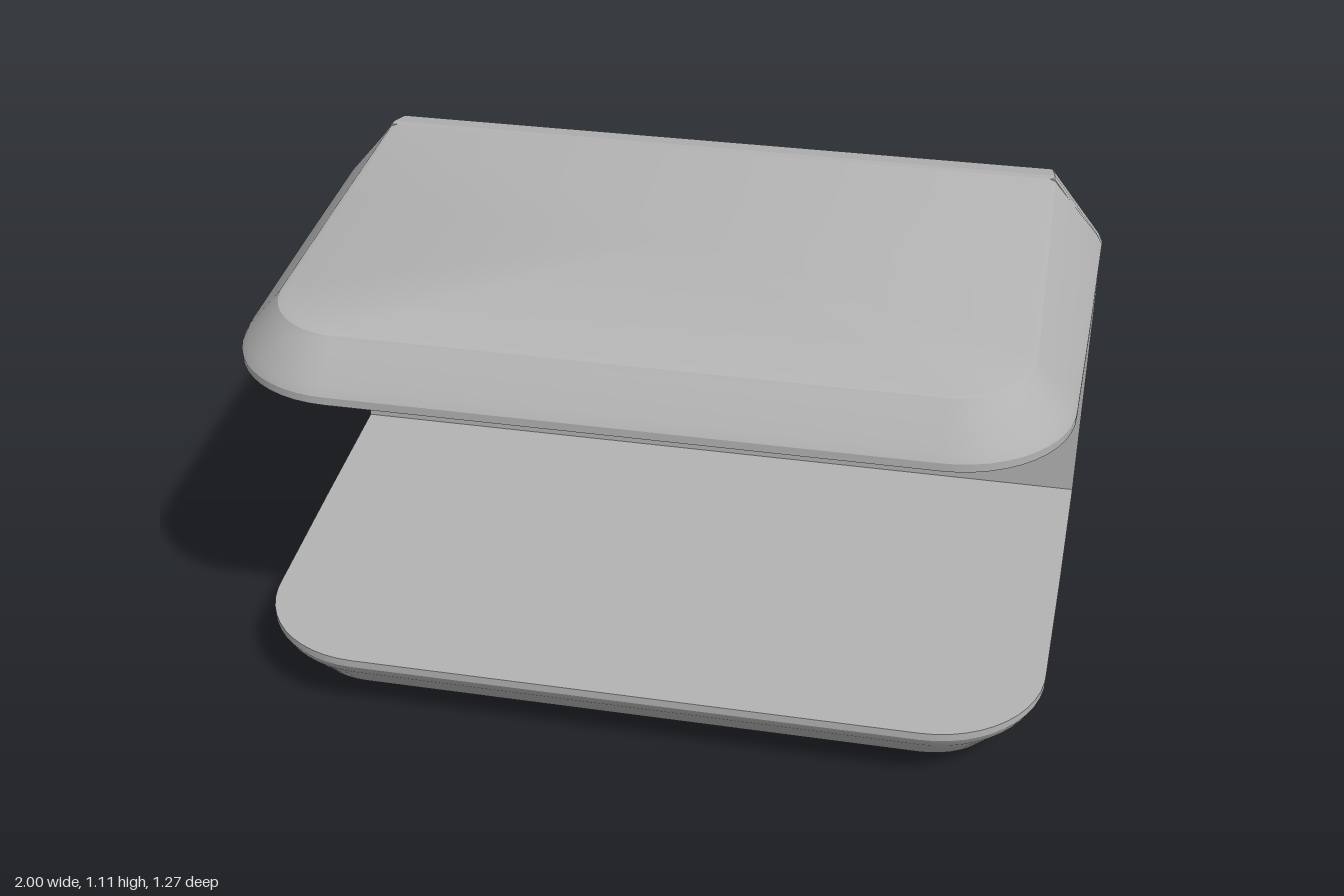
import * as THREE from 'three';
import { toCreasedNormals } from 'three/addons/utils/BufferGeometryUtils.js';

const MID = 0.555; // height of the horizontal mirror plane

export function createModel() {
  const group = new THREE.Group();
  const grey = new THREE.MeshStandardMaterial({ color: 0xb3b3b3 });
  grey.name = 'matte grey';

  const add = (name, geo, x = 0, y = 0, z = 0) => {
    const mesh = new THREE.Mesh(geo, grey);
    mesh.name = name;
    mesh.position.set(x, y, z);
    group.add(mesh);
    return mesh;
  };
  const box = (name, x0, x1, y0, y1, z0, z1) =>
    add(name, new THREE.BoxGeometry(x1 - x0, y1 - y0, z1 - z0), (x0 + x1) / 2, (y0 + y1) / 2, (z0 + z1) / 2);

  // Rectangle with its own corner radius on the -x and the +x side
  const roundRect = (path, x0, x1, y0, y1, rl, rr) => {
    path.moveTo(x0 + rl, y0);
    path.lineTo(x1 - rr, y0);
    if (rr) path.absarc(x1 - rr, y0 + rr, rr, -Math.PI / 2, 0);
    path.lineTo(x1, y1 - rr);
    if (rr) path.absarc(x1 - rr, y1 - rr, rr, 0, Math.PI / 2);
    path.lineTo(x0 + rl, y1);
    if (rl) path.absarc(x0 + rl, y1 - rl, rl, Math.PI / 2, Math.PI);
    path.lineTo(x0, y0 + rl);
    if (rl) path.absarc(x0 + rl, y0 + rl, rl, Math.PI, Math.PI * 1.5);
    return path;
  };
  const slot = (cx, cy, w, h) => {
    const r = Math.min(w, h) / 2 * 0.98;
    return roundRect(new THREE.Path(), cx - w / 2, cx + w / 2, cy - h / 2, cy + h / 2, r, r);
  };
  const octagon = () => new THREE.Shape(
    [[1, -0.385], [1, 0.385], [0.866, 0.555], [-0.866, 0.555], [-1, 0.385], [-1, -0.385], [-0.866, -0.555], [0.866, -0.555]]
      .map(([x, y]) => new THREE.Vector2(x, y + MID)));
  const extrude = (shape, z0, z1, steps = 1) => {
    const geo = new THREE.ExtrudeGeometry(shape, { depth: z1 - z0, steps, bevelEnabled: false, curveSegments: 6 });
    return geo.translate(0, 0, z0);
  };

  // Upper and lower wings: rounded outline lofted up a sloping chamfer to a tilted face
  const outline = [];
  for (const [z, x] of [[-0.455, 1], [-0.05, 0.986], [0.3, 0.972]]) outline.push({ x, z, nx: 1, nz: 0 });
  for (let i = 0; i <= 12; i++) {
    const a = i / 12 * Math.PI / 2, nx = Math.cos(a), nz = Math.sin(a);
    outline.push({ x: 0.69 + 0.28 * nx, z: 0.355 + 0.28 * nz, nx, nz });
  }
  outline.push(...outline.slice().reverse().map(p => ({ ...p, x: -p.x, nx: -p.nx })));
  const topY = z => 1.11 - 0.053 * (z + 0.455);

  const wing = side => {
    const pos = [], idx = [], n = outline.length, levels = 6;
    const put = (x, y, z) => pos.push(x, MID + side * (y - MID), z);
    for (let l = 0; l < levels; l++) {
      for (const p of outline) {
        const d = (topY(p.z) - 0.94) / 1.27;
        const inset = [0, 0, 0.014, d - 0.014, d - 0.002, d + 0.014][l];
        const x = p.x - p.nx * inset, z = p.z - p.nz * inset, t = topY(z);
        put(x, [0.92, 0.94, 0.966, t - 0.021, t - 0.006, t][l], z);
      }
    }
    const tri = (a, b, c) => side > 0 ? idx.push(a, b, c) : idx.push(a, c, b);
    for (let l = 0; l < levels - 1; l++) {
      for (let i = 0; i < n; i++) {
        const a = l * n + i, b = l * n + (i + 1) % n;
        tri(a, a + n, b);
        tri(b, a + n, b + n);
      }
    }
    const low = levels * n, high = low + 1, last = (levels - 1) * n;
    put(0, 0.92, 0);
    put(0, topY(0), 0);
    for (let i = 0; i < n; i++) {
      const j = (i + 1) % n;
      tri(low, i, j);
      tri(high, last + j, last + i);
    }
    const geo = new THREE.BufferGeometry();
    geo.setAttribute('position', new THREE.Float32BufferAttribute(pos, 3));
    geo.setIndex(idx);
    return toCreasedNormals(geo, 0.45);
  };
  add('upperWing', wing(1));
  add('lowerWing', wing(-1));

  // Front sheet of the back wall, with a window and two rows of small vents
  const sheet = octagon();
  sheet.holes.push(roundRect(new THREE.Path(), -0.7, 0.72, 0.325, 0.785, 0, 0.05));
  const ventX = [-0.57, -0.487, -0.405, -0.325, -0.243, -0.163, -0.08, 0, 0.08, 0.162, 0.243, 0.325, 0.487, 0.567, 0.65];
  for (const x of ventX) for (const s of [1, -1]) sheet.holes.push(slot(x, MID + s * 0.285, 0.02, 0.05));
  add('wallSheet', extrude(sheet, -0.475, -0.455));

  // Rear frame: deep recess, grooves and screw holes, outer edge drawn in toward the back
  const frame = octagon();
  const recess = new THREE.Path();
  recess.moveTo(-0.76, MID - 0.305);
  recess.lineTo(0.75, MID - 0.305);
  recess.absarc(0.75, MID - 0.225, 0.08, -Math.PI / 2, 0);
  recess.absarc(0.75, MID + 0.225, 0.08, 0, Math.PI / 2);
  for (const [x, y] of [[-0.76, 0.305], [-0.76, 0.225], [-0.95, 0.225], [-0.95, -0.225], [-0.76, -0.225]]) recess.lineTo(x, MID + y);
  frame.holes.push(recess);
  for (const s of [1, -1]) {
    for (let i = 0; i < 6; i++) {
      const x = 0.575 - i * 0.222;
      frame.holes.push(slot(x, MID + s * 0.43, 0.15, 0.035), slot(x, MID + s * 0.342, 0.15, 0.035));
    }
    for (const x of [0.7, -0.69]) frame.holes.push(slot(x, MID + s * 0.43, 0.07, 0.07));
  }
  frame.holes.push(slot(0.91, MID, 0.06, 0.06));
  const frameGeo = extrude(frame, -0.555, -0.475, 5);
  const p = frameGeo.attributes.position;
  for (let i = 0; i < p.count; i++) {
    const x = p.getX(i), y = p.getY(i) - MID, back = -0.475 - p.getZ(i);
    if (Math.hypot(x, y) < 1.02) continue;
    const inset = back * 0.18 + (back > 0.07 ? 0.013 : 0);
    p.setXY(i, x - Math.sign(x) * inset * 0.7, y - Math.sign(y) * inset + MID);
  }
  add('rearFrame', toCreasedNormals(frameGeo, 0.5));

  // Walled vent panel standing in the recess
  const wall = roundRect(new THREE.Shape(), -0.645, 0.74, 0.305, 0.8, 0, 0.06);
  wall.holes.push(roundRect(new THREE.Path(), -0.64, 0.72, 0.325, 0.785, 0, 0.05));
  add('panelWall', extrude(wall, -0.56, -0.475));
  const panel = roundRect(new THREE.Shape(), -0.645, 0.74, 0.305, 0.8, 0, 0.06);
  for (const [start, count] of [[-0.51, 7], [0.306, 8]]) {
    for (let i = 0; i < count; i++) {
      const x = start + i * 0.0515;
      panel.holes.push(slot(x, 0.68, 0.026, 0.185), slot(x, 0.437, 0.026, 0.185));
    }
  }
  add('ventPanel', extrude(panel, -0.575, -0.56));

  // Panel tabs over the recess edge
  for (const x of [-0.43, 0.505]) {
    for (const s of [1, -1]) {
      const a = MID + s * 0.24, b = MID + s * 0.296;
      box('panelTab', x - 0.03, x + 0.03, Math.min(a, b), Math.max(a, b), -0.575, -0.563);
    }
  }

  // Latch beside the panel: bridge, plate, arms and grip ribs
  box('latchBridge', -0.74, -0.64, 0.52, 0.585, -0.575, -0.56);
  box('latchPlate', -0.94, -0.7, 0.36, 0.75, -0.53, -0.512);
  for (const s of [1, -1]) {
    const y = MID + s * 0.19;
    box('latchArm', -0.9, -0.68, y - 0.02, y + 0.02, -0.555, -0.512);
    const c = MID + s * 0.09;
    box('latchTooth', -0.77, -0.7, c - 0.025, c + 0.025, -0.56, -0.53);
  }
  for (let i = 0; i < 4; i++) {
    const y = MID - 0.06 + i * 0.04;
    box('gripRib', -0.94, -0.83, y - 0.009, y + 0.009, -0.553, -0.53);
  }

  // Four rear feet with a softened end
  const footProfile = [[0.05, 0], [0.05, 0.068], [0.044, 0.072], [0.044, 0.08], [0, 0.08]]
    .map(([r, h]) => new THREE.Vector2(r, h));
  const footGeo = toCreasedNormals(new THREE.LatheGeometry(footProfile, 28).rotateX(-Math.PI / 2), 0.5);
  for (const x of [-0.783, 0.783]) for (const s of [1, -1]) add('foot', footGeo, x, MID + s * 0.415, -0.555);

  return group;
}
